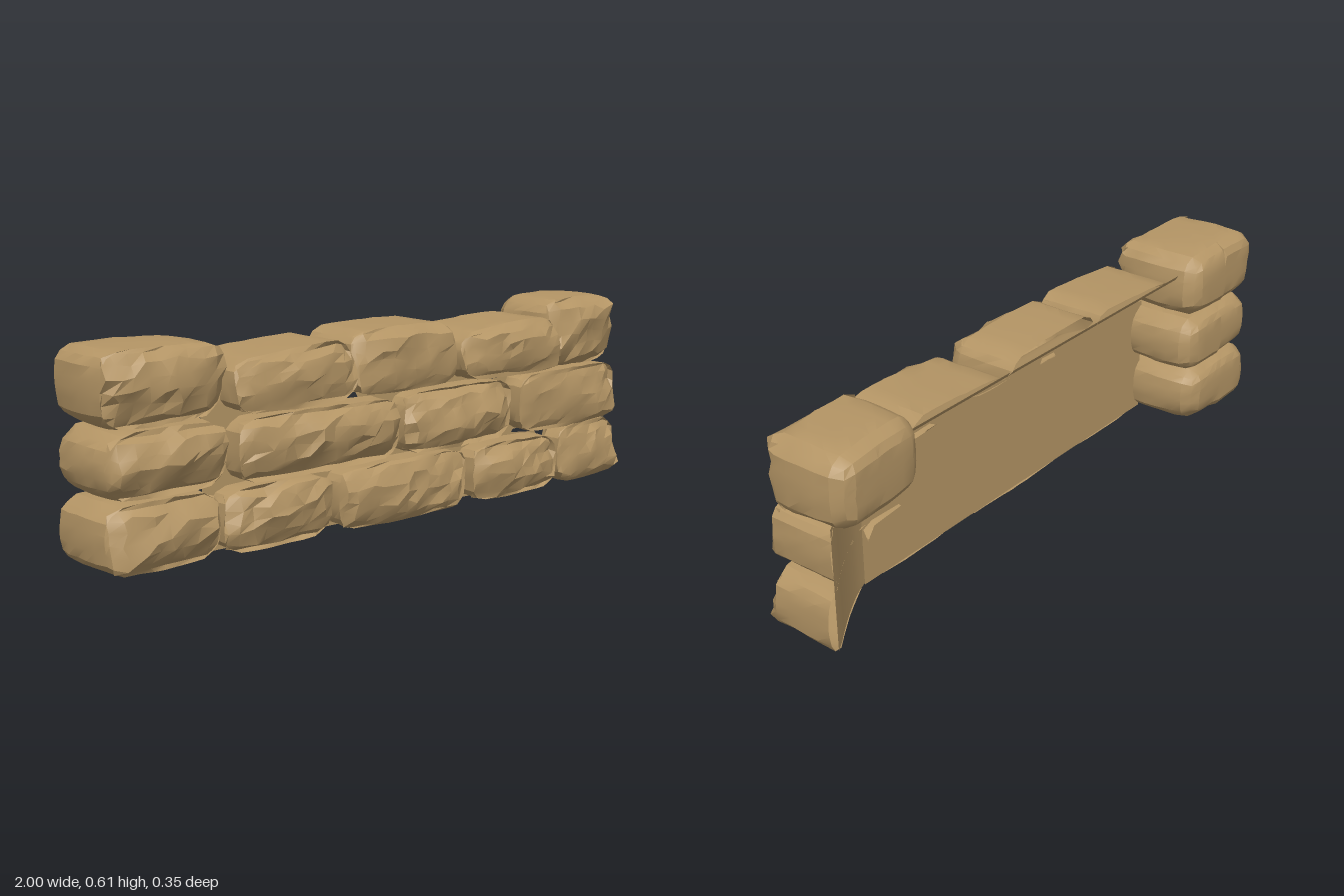
import * as THREE from 'three';
import { mergeVertices, toCreasedNormals } from 'three/addons/utils/BufferGeometryUtils.js';

const stoneMat = new THREE.MeshStandardMaterial({ color: 0xb49565, side: THREE.DoubleSide });
stoneMat.name = 'sandstone';

// Seeded random numbers
function seeded(seed) {
  let s = seed * 7919 + 17;
  return () => {
    s = (s * 16807) % 2147483647;
    return s / 2147483647;
  };
}
const lerp = THREE.MathUtils.lerp, clamp = THREE.MathUtils.clamp, smooth = THREE.MathUtils.smoothstep;

// Where the back of a stone lies
const SHEET = 0.06;
const backs = {
  pillar: () => -0.165,
  middle: () => SHEET,
  top: (x, y) => lerp(SHEET, -0.1, smooth(y, 0.43, 0.535)),
  end: (x) => lerp(SHEET, -0.1, clamp((x - 0.69) / 0.265, 0, 1) ** 1.25),
};

// Worn block: rounded box with a chiselled front; only pillar stones are closed behind
function stone(name, seed, { x: [x0, x1], y: [y0, y1], front = 0.155, back = 'middle', tilt = 0, shear = 0 }) {
  const rnd = seeded(seed);
  for (let i = 0; i < 5; i++) rnd();
  const pillar = back === 'pillar';
  const zb = backs[back](x1, y1);
  const size = [x1 - x0, y1 - y0, front - zb];
  let g = new THREE.BoxGeometry(...size, Math.round(size[0] / 0.045), 6, Math.max(3, Math.round(size[2] / 0.045)));
  g.deleteAttribute('uv');
  g.deleteAttribute('normal');
  g = mergeVertices(g, 1e-4);

  // Random cutting planes for the front face
  const cuts = Array.from({ length: 8 }, () => [rnd() * 0.022, (rnd() - 0.5) * 0.075, (rnd() - 0.5) * 0.085]);
  const half = size.map((s) => s / 2);
  const p = g.attributes.position, v = new THREE.Vector3(), inner = new THREE.Vector3();
  const corner = Array.from({ length: 8 }, () => (pillar ? 0.042 : 0.03) + rnd() * 0.022);
  const behind = [];
  for (let i = 0; i < p.count; i++) {
    v.fromBufferAttribute(p, i);
    const isFront = v.z > half[2] - 1e-3;
    behind.push(!pillar && v.z < 1e-3 - half[2]);
    const u = v.x / half[0], w = v.y / half[1], q = v.z / half[2];
    // round the edges, each corner by its own amount
    const rr = corner[(v.x > 0) + 2 * (v.y > 0) + 4 * (v.z > 0)];
    inner.set(
      clamp(v.x, rr - half[0], half[0] - rr),
      clamp(v.y, rr - half[1], half[1] - rr),
      clamp(v.z, pillar ? rr - half[2] : -half[2], Math.max(-half[2], half[2] - rr)));
    v.sub(inner);
    if (v.length() > rr) v.setLength(rr);
    v.add(inner);
    // chisel the front, wear the rest lightly
    if (isFront) {
      let d = 0.008;
      for (const [b, gx, gy] of cuts) d = Math.min(d, b + gx * u + gy * w);
      v.z += Math.max(d, -0.04) + (rnd() - 0.5) * 0.018;
      if (Math.abs(u) < 0.95 && Math.abs(w) < 0.95) {
        v.x += (rnd() - 0.5) * 0.026;
        v.y += (rnd() - 0.5) * 0.018;
      }
    } else {
      const bulge = pillar ? 0.014 : 0;
      v.x -= Math.sign(u) * (0.008 * w * w + bulge * q * q);
      v.y -= Math.sign(w) * (0.007 * u * u + 0.3 * bulge * q * q);
      v.x += (rnd() - 0.5) * 0.004;
      v.y += (rnd() - 0.5) * 0.003;
    }
    // tilt the top and fit the back
    const t = (v.z + half[2]) / size[2];
    v.y += tilt * u * Math.max(0, w);
    const X = v.x + (x0 + x1) / 2, Y = v.y + (y0 + y1) / 2;
    const b = backs[back](X, Y);
    p.setXYZ(i, X, Math.max(0, Y), b + t * (front - b) + shear * v.x);
  }
  // leave off the faces that the mortar sheet covers
  const kept = [], idx = g.index.array;
  for (let i = 0; i < idx.length; i += 3) {
    const tri = [idx[i], idx[i + 1], idx[i + 2]];
    if (!tri.every((k) => behind[k])) kept.push(...tri);
  }
  g.setIndex(kept);
  const mesh = new THREE.Mesh(toCreasedNormals(g, 0.45), stoneMat);
  mesh.name = name;
  return mesh;
}

const courses = {
  bottomCourse: [
    { x: [-1.0, -0.625], y: [0, 0.195], back: 'pillar', front: 0.15 },
    { x: [-0.635, -0.265], y: [0.005, 0.19] },
    { x: [-0.235, 0.265], y: [0.003, 0.187], front: 0.16 },
    { x: [0.295, 0.67], y: [0.005, 0.182], front: 0.165 },
    { x: [0.68, 0.99], y: [0.005, 0.195], back: 'end', front: 0.14 },
  ],
  middleCourse: [
    { x: [-0.995, -0.6], y: [0.195, 0.385], back: 'pillar', front: 0.15 },
    { x: [-0.585, -0.01], y: [0.192, 0.378], front: 0.165 },
    { x: [0.015, 0.465], y: [0.19, 0.38], front: 0.155 },
    { x: [0.49, 0.965], y: [0.197, 0.385], back: 'end', front: 0.15 },
  ],
  topCourse: [
    { x: [-1.0, -0.61], y: [0.385, 0.597], back: 'pillar', front: 0.15 },
    { x: [-0.6, -0.18], y: [0.388, 0.552], back: 'top', front: 0.165, tilt: 0.014 },
    { x: [-0.175, 0.24], y: [0.388, 0.577], back: 'top', front: 0.14, shear: -0.04 },
    { x: [0.235, 0.655], y: [0.39, 0.552], back: 'top', front: 0.165, tilt: 0.012 },
    { x: [0.645, 0.995], y: [0.38, 0.605], back: 'pillar', front: 0.12, shear: -0.09 },
  ],
};

// Flat mortar sheet with a few open chinks
function mortarPanel() {
  const path = (pts) => pts.map((q) => new THREE.Vector2(...q));
  const s = new THREE.Shape(path([[-0.66, 0.01], [0.69, 0.01], [0.69, 0.395], [-0.66, 0.395]]));
  const chinks = [
    [[-0.19, 0.374], [-0.11, 0.374], [-0.12, 0.392], [-0.18, 0.39]],
    [[0.37, 0.376], [0.46, 0.37], [0.48, 0.388], [0.4, 0.392]],
    [[0.53, 0.188], [0.64, 0.178], [0.668, 0.14], [0.684, 0.185], [0.65, 0.2], [0.54, 0.198]],
  ];
  for (const c of chinks) s.holes.push(new THREE.Path(path(c)));
  const mesh = new THREE.Mesh(new THREE.ShapeGeometry(s).translate(0, 0, SHEET), stoneMat);
  mesh.name = 'mortarPanel';
  return mesh;
}

// Mortar sheet bent to follow the back of a course
function bentSheet(name, [x0, x1], [y0, y1], back) {
  const g = new THREE.PlaneGeometry(x1 - x0, y1 - y0, 8, 10).translate((x0 + x1) / 2, (y0 + y1) / 2, 0);
  const p = g.attributes.position;
  for (let i = 0; i < p.count; i++) p.setZ(i, back(p.getX(i), p.getY(i)));
  g.computeVertexNormals();
  const mesh = new THREE.Mesh(g, stoneMat);
  mesh.name = name;
  return mesh;
}

export function createModel() {
  const wall = new THREE.Group();
  wall.name = 'stoneWall';
  let seed = 3;
  for (const [name, list] of Object.entries(courses)) {
    const course = new THREE.Group();
    course.name = name;
    list.forEach((o, i) => course.add(stone(`${name}Stone${i + 1}`, seed++, o)));
    wall.add(course);
  }
  wall.add(
    mortarPanel(),
    bentSheet('mortarLedge', [-0.64, 0.67], [0.394, 0.535], backs.top),
    bentSheet('mortarReturn', [0.69, 0.96], [0.015, 0.385], backs.end));
  return wall;
}
